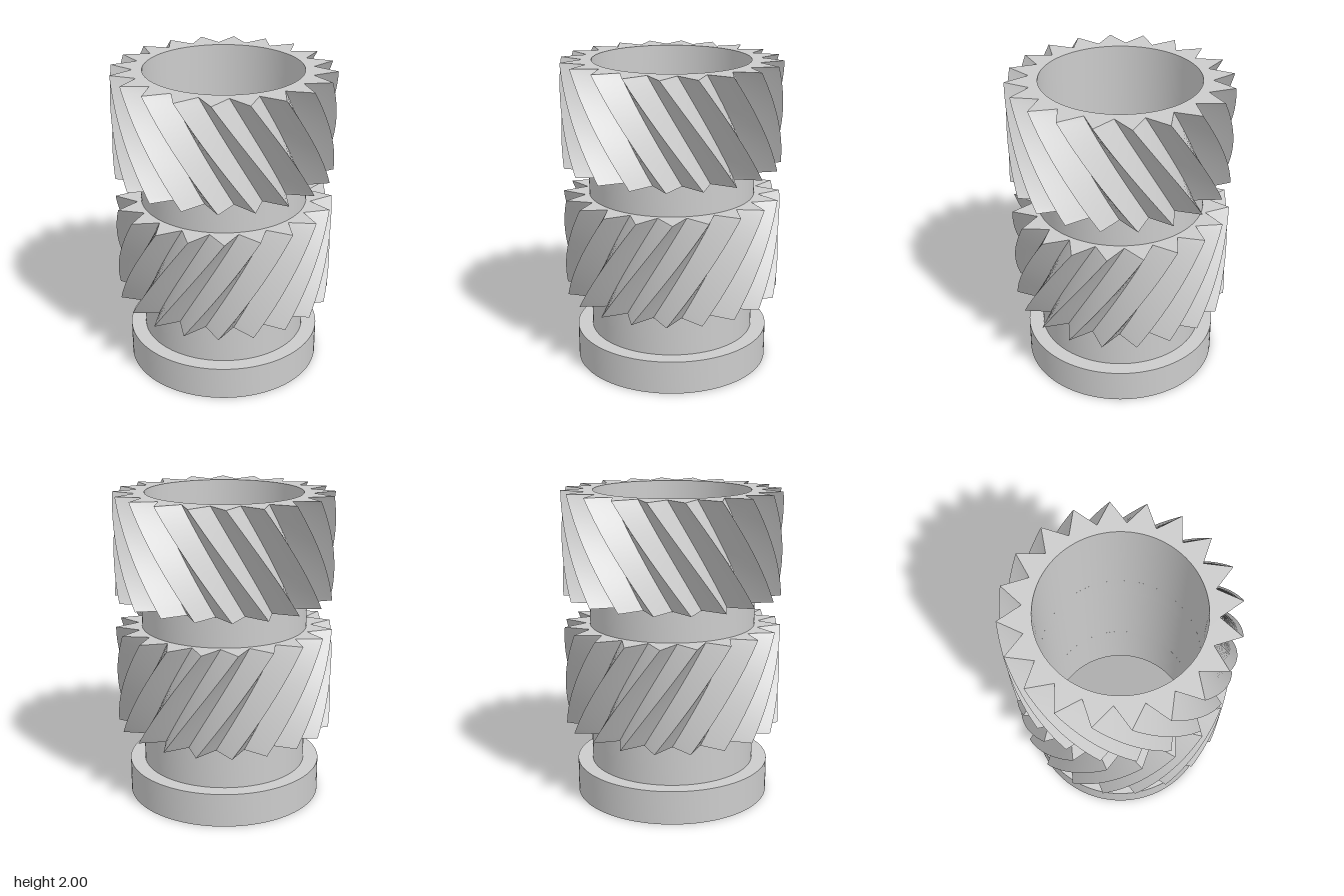
import * as THREE from 'three';
import { toCreasedNormals } from 'three/addons/utils/BufferGeometryUtils.js';

const TEETH = 20, TIP = 0.7, ROOT = 0.559, BORE = 0.5, NECK = 0.533, FLANGE = 0.63;
const PHASE = THREE.MathUtils.degToRad(8.6);
const TWIST = THREE.MathUtils.degToRad(39);
const SEGMENTS = 96;

const material = new THREE.MeshStandardMaterial({ color: 0xcccccc });

function addPart(group, name, geometry) {
  const mesh = new THREE.Mesh(toCreasedNormals(geometry, 0.4), material);
  mesh.name = name;
  group.add(mesh);
}

// Turned sleeve from a closed [radius, y] profile
function sleeve(profile) {
  return new THREE.LatheGeometry(profile.map(([r, y]) => new THREE.Vector2(r, y)), SEGMENTS);
}

// Ring of V-shaped teeth, swept helically upwards from y0 to y1
function knurl(y0, y1, twist) {
  const outline = [];
  for (let i = 0; i < TEETH * 2; i++) {
    const a = PHASE + (i * Math.PI) / TEETH;
    const r = i % 2 ? ROOT : TIP;
    outline.push(new THREE.Vector2(r * Math.sin(a), -r * Math.cos(a)));
  }
  const shape = new THREE.Shape(outline);
  shape.holes.push(new THREE.Path().absarc(0, 0, BORE, 0, Math.PI * 2, true));

  const geometry = new THREE.ExtrudeGeometry(shape, {
    depth: y1 - y0, steps: 20, curveSegments: SEGMENTS, bevelEnabled: false,
  });
  geometry.rotateX(-Math.PI / 2);

  // Turn each level in proportion to its height
  const pos = geometry.attributes.position;
  const axis = new THREE.Vector3(0, 1, 0);
  const v = new THREE.Vector3();
  for (let i = 0; i < pos.count; i++) {
    v.fromBufferAttribute(pos, i);
    v.applyAxisAngle(axis, (twist * v.y) / (y1 - y0));
    pos.setXYZ(i, v.x, v.y + y0, v.z);
  }
  return geometry;
}

export function createModel() {
  const group = new THREE.Group();
  group.name = 'threadedInsert';

  // Flange with the neck above it
  addPart(group, 'flangeAndNeck', sleeve([
    [BORE, 0], [FLANGE, 0], [FLANGE, 0.22], [NECK, 0.22], [NECK, 0.485], [BORE, 0.485], [BORE, 0],
  ]));

  // Plain groove between the knurled bands
  addPart(group, 'middleGroove', sleeve([
    [BORE, 1.14], [NECK, 1.14], [NECK, 1.34], [BORE, 1.34], [BORE, 1.14],
  ]));

  // Two bands with opposite helix
  addPart(group, 'lowerKnurl', knurl(0.485, 1.14, TWIST));
  addPart(group, 'upperKnurl', knurl(1.34, 2, -TWIST));

  return group;
}
